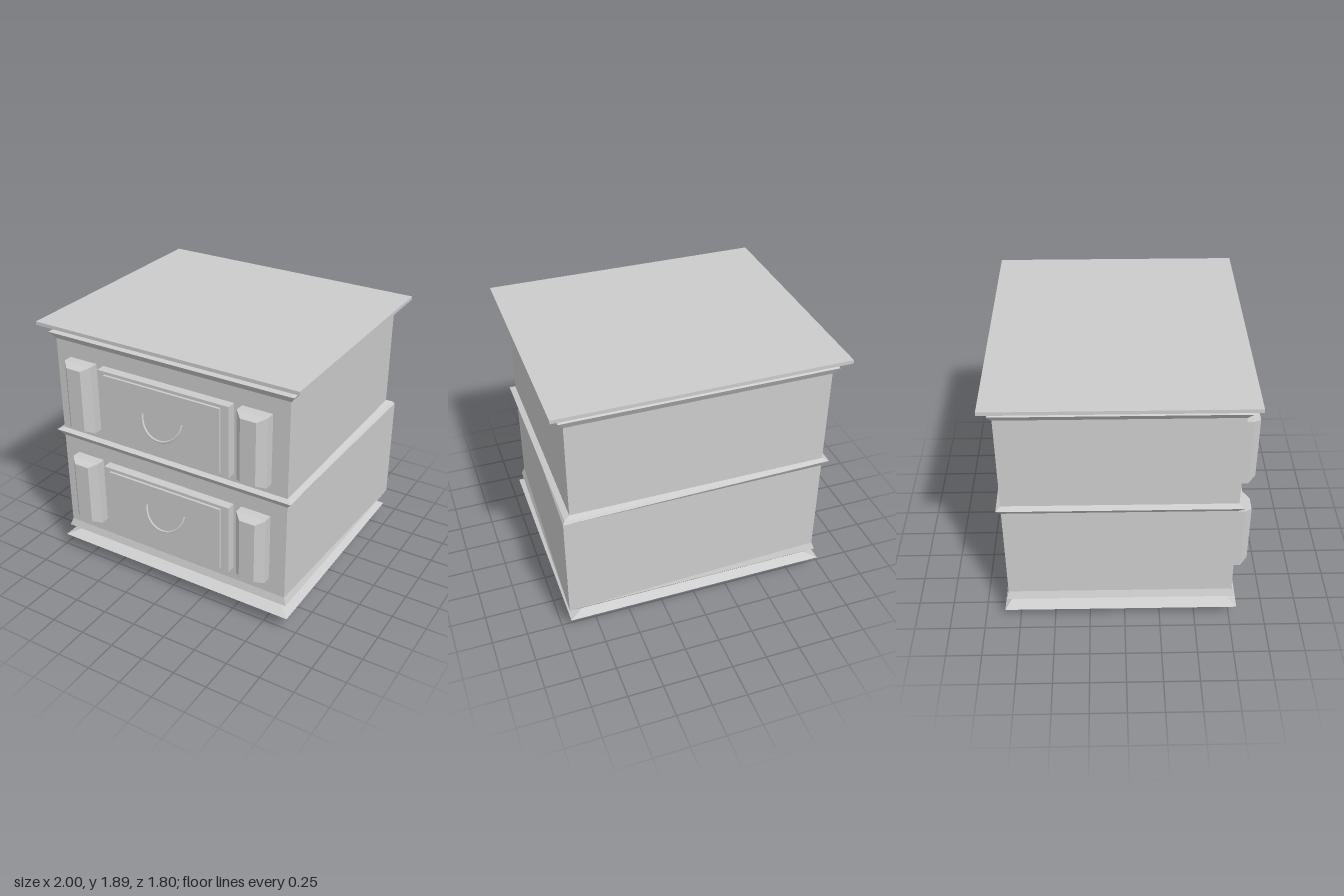
import * as THREE from 'three';

const material = new THREE.MeshStandardMaterial({ color: 0xcccccc, flatShading: true });
const smooth = new THREE.MeshStandardMaterial({ color: 0xcccccc });

// Capped, faceted solid through four-cornered rings (counter-clockwise seen from the last ring)
function loft(name, rings) {
  const pos = [];
  const quad = (a, b, c, d) => pos.push(...a, ...b, ...c, ...a, ...c, ...d);
  for (let r = 0; r < rings.length - 1; r++) {
    for (let i = 0; i < 4; i++) {
      const j = (i + 1) % 4;
      quad(rings[r][i], rings[r][j], rings[r + 1][j], rings[r + 1][i]);
    }
  }
  const [a, b, c, d] = rings[0];
  quad(d, c, b, a);
  quad(...rings[rings.length - 1]);
  const geometry = new THREE.BufferGeometry();
  geometry.setAttribute('position', new THREE.Float32BufferAttribute(pos, 3));
  geometry.computeVertexNormals();
  const mesh = new THREE.Mesh(geometry, material);
  mesh.name = name;
  return mesh;
}

const levelRing = (y, x, front, back) =>
  [[-x, y, front], [x, y, front], [x, y, back], [-x, y, back]];
const uprightRing = (z, x0, x1, y0, y1) =>
  [[x0, y0, z], [x1, y0, z], [x1, y1, z], [x0, y1, z]];

// Moulded cabinet body; the lower section bulges at its back right corner
function makeBody() {
  const rings = [
    levelRing(0.085, 0.815, 0.73, -0.775),
    levelRing(0.13, 0.95, 0.795, -0.85),
    levelRing(0.17, 0.855, 0.71, -0.795),
    levelRing(0.215, 0.925, 0.77, -0.835),
    levelRing(0.27, 0.905, 0.755, -0.82),
    levelRing(1.0, 0.905, 0.755, -0.82),
    levelRing(1.05, 0.945, 0.79, -0.85),
    levelRing(1.065, 0.905, 0.755, -0.82),
    levelRing(1.76, 0.905, 0.755, -0.82),
    levelRing(1.81, 0.942, 0.79, -0.848),
    levelRing(1.833, 0.9, 0.745, -0.805),
  ];
  rings[3][2] = [0.96, 0.25, -0.865];
  rings[4][2] = [0.96, 0.25, -0.865];
  rings[5][2] = [0.96, 1.03, -0.865];
  return loft('body', rings);
}

// Drawer front with raised panel, two chamfered side blocks and a tilted half-ring handle
function makeDrawer(name, bottom, top, blockBottom, handleY) {
  const drawer = new THREE.Group();
  drawer.name = name;
  drawer.add(loft('drawerFront', [0.74, 0.82].map(z => uprightRing(z, -0.513, 0.507, bottom, top))));
  drawer.add(loft('drawerPanel', [0.8, 0.837].map(z =>
    uprightRing(z, -0.457, 0.447, bottom + 0.02, top - 0.022))));
  for (const x of [-0.68, 0.675]) {
    drawer.add(loft('sideBlock', [
      uprightRing(0.74, x - 0.11, x + 0.11, blockBottom, top),
      uprightRing(0.82, x - 0.11, x + 0.11, blockBottom, top),
      uprightRing(0.872, x - 0.057, x + 0.057, blockBottom + 0.026, top - 0.024),
    ]));
  }
  const handle = new THREE.Mesh(new THREE.TorusGeometry(0.153, 0.008, 8, 32, Math.PI), smooth);
  handle.name = 'handle';
  handle.rotation.set(-0.32, 0, Math.PI, 'XYZ');
  handle.position.set(0.015, handleY, 0.842);
  drawer.add(handle);
  return drawer;
}

export function createModel() {
  const model = new THREE.Group();
  model.name = 'nightstand';

  model.add(makeBody());
  model.add(loft('topSlab', [
    levelRing(1.833, 0.9, 0.745, -0.805),
    levelRing(1.865, 1, 0.837, -0.9),
    levelRing(1.89, 1, 0.837, -0.9),
  ]));
  model.add(makeDrawer('upperDrawer', 1.125, 1.645, 1.14, 1.432));
  model.add(makeDrawer('lowerDrawer', 0.365, 0.89, 0.387, 0.717));

  // Round feet
  for (const x of [-0.745, 0.74]) {
    for (const z of [0.573, -0.645]) {
      const foot = new THREE.Mesh(new THREE.SphereGeometry(0.105, 24, 16), smooth);
      foot.name = 'foot';
      foot.scale.set(1, 0.95, z < 0 ? 1.12 : 1);
      foot.position.set(x, 0.1, z);
      model.add(foot);
    }
  }
  return model;
}
